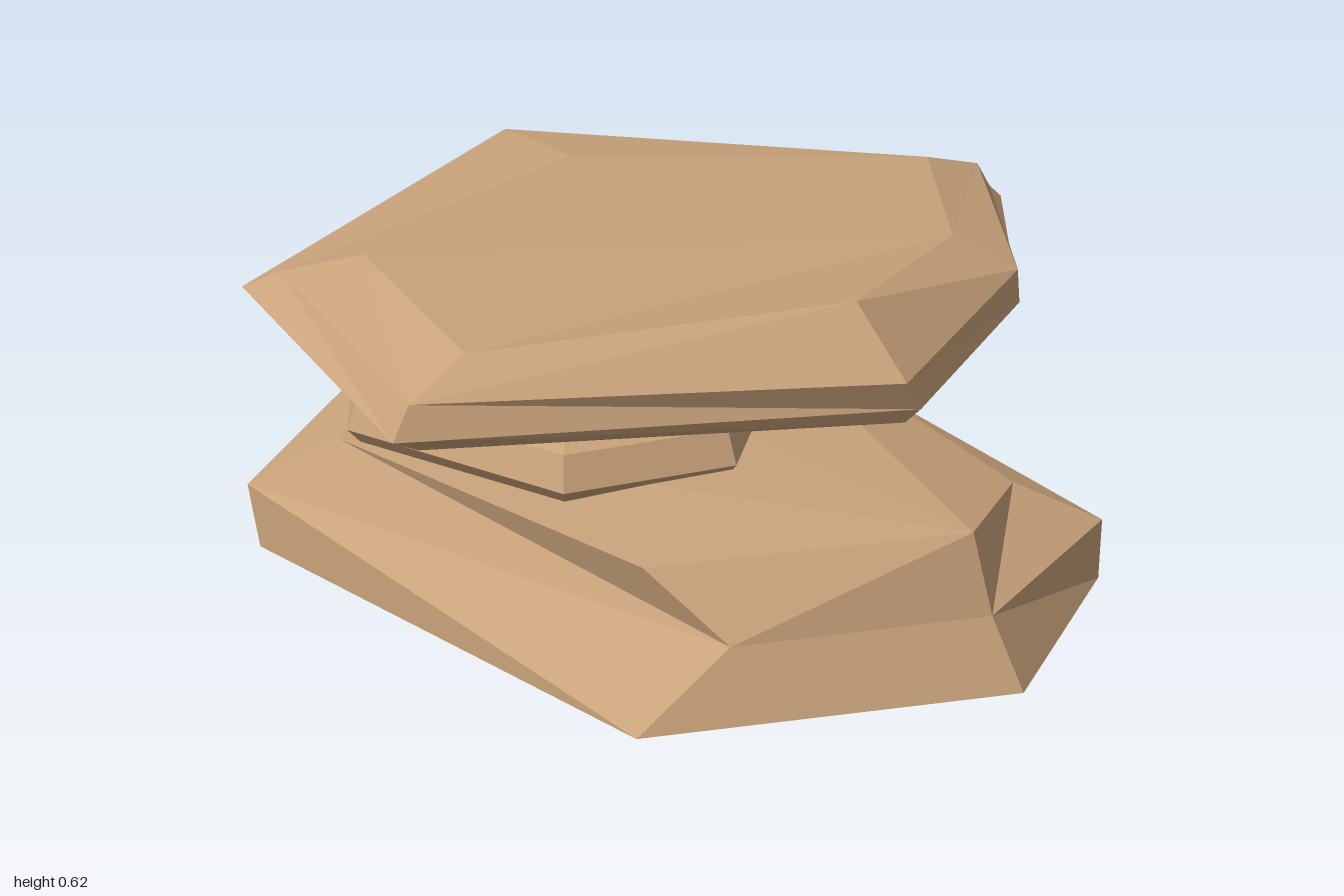
import * as THREE from 'three';

// Joins stacked rings of [x, y, z] points into a faceted stone.
// Rings run front -> +x -> back; a '1' in flips[layer][side] turns that quad's diagonal.
function stone(name, rings, flips, topFan, closed, material) {
  const pos = [];
  const tri = (a, b, c) => pos.push(...a, ...b, ...c);
  const n = rings[0].length;
  for (let k = 0; k < rings.length - 1; k++) {
    const lo = rings[k], up = rings[k + 1];
    for (let i = 0; i < n; i++) {
      const j = (i + 1) % n;
      if (flips[k][i] === '1') {
        tri(lo[i], lo[j], up[j]);
        tri(lo[i], up[j], up[i]);
      } else {
        tri(lo[i], lo[j], up[i]);
        tri(lo[j], up[j], up[i]);
      }
    }
  }
  // caps, fanned from one corner
  const top = rings[rings.length - 1];
  for (let s = 1; s < n - 1; s++) {
    tri(top[topFan], top[(topFan + s) % n], top[(topFan + s + 1) % n]);
    if (closed) tri(rings[0][0], rings[0][s + 1], rings[0][s]);
  }
  const geo = new THREE.BufferGeometry();
  geo.setAttribute('position', new THREE.Float32BufferAttribute(pos, 3));
  geo.computeVertexNormals();
  const mesh = new THREE.Mesh(geo, material);
  mesh.name = name;
  return mesh;
}

export function createModel() {
  const group = new THREE.Group();
  group.name = 'stackedStones';
  const sandstone = new THREE.MeshStandardMaterial({ color: 0xc8a27a, flatShading: true, side: THREE.DoubleSide });
  sandstone.name = 'sandstone';

  // wide base stone, hollow underneath
  group.add(stone('baseStone', [
    [[-0.42, 0, 0.885], [0.64, 0, 0.79], [1, 0, 0.165], [0.81, 0, -0.27], [-0.395, 0, -0.43], [-0.845, 0, 0.25]],
    [[-0.45, 0.13, 0.885], [0.68, 0.13, 0.6], [0.92, 0.13, 0.17], [0.81, 0.13, -0.27], [-0.395, 0.13, -0.43], [-0.76, 0.13, 0.24]],
    [[-0.29, 0.25, 0.765], [0.51, 0.245, 0.66], [0.87, 0.285, 0.175], [0.68, 0.205, -0.15], [-0.35, 0.25, -0.305], [-0.725, 0.25, 0.22]],
  ], ['000001', '011000'], 2, false, sandstone));

  // thin middle stone: one outline scaled at four heights
  const outline = [[-0.25, 0.77], [0.25, 0.63], [0.38, 0.31], [-0.125, -0.38], [-0.815, -0.05], [-0.72, 0.42]];
  const middle = [[0.25, 0.95], [0.285, 1], [0.35, 0.95], [0.4, 0.77]].map(([y, s]) =>
    outline.map(([x, z]) => [-0.22 + (x + 0.22) * s, y, 0.2 + (z - 0.2) * s]));
  group.add(stone('middleStone', middle, ['000000', '000000', '000000'], 0, true, sandstone));

  // broad cap stone with an uneven top
  group.add(stone('capStone', [
    [[-0.65, 0.4, 0.67], [0.11, 0.4, 0.855], [0.63, 0.4, 0.11], [0.42, 0.4, -0.4], [-0.06, 0.4, -0.92], [-0.93, 0.4, -0.2]],
    [[-0.7, 0.435, 0.71], [0.115, 0.435, 0.914], [0.66, 0.435, 0.1], [0.45, 0.44, -0.41], [-0.06, 0.435, -0.88], [-1, 0.435, -0.2]],
    [[-0.63, 0.477, 0.66], [0.115, 0.5, 0.875], [0.66, 0.5, 0.14], [0.45, 0.515, -0.4], [-0.06, 0.5, -0.835], [-0.965, 0.5, -0.19]],
    [[-0.35, 0.592, 0.64], [0.11, 0.56, 0.74], [0.52, 0.62, 0.135], [0.3, 0.555, -0.365], [-0.07, 0.55, -0.68], [-0.61, 0.55, -0.1]],
  ], ['000000', '000000', '010000'], 3, true, sandstone));

  return group;
}
